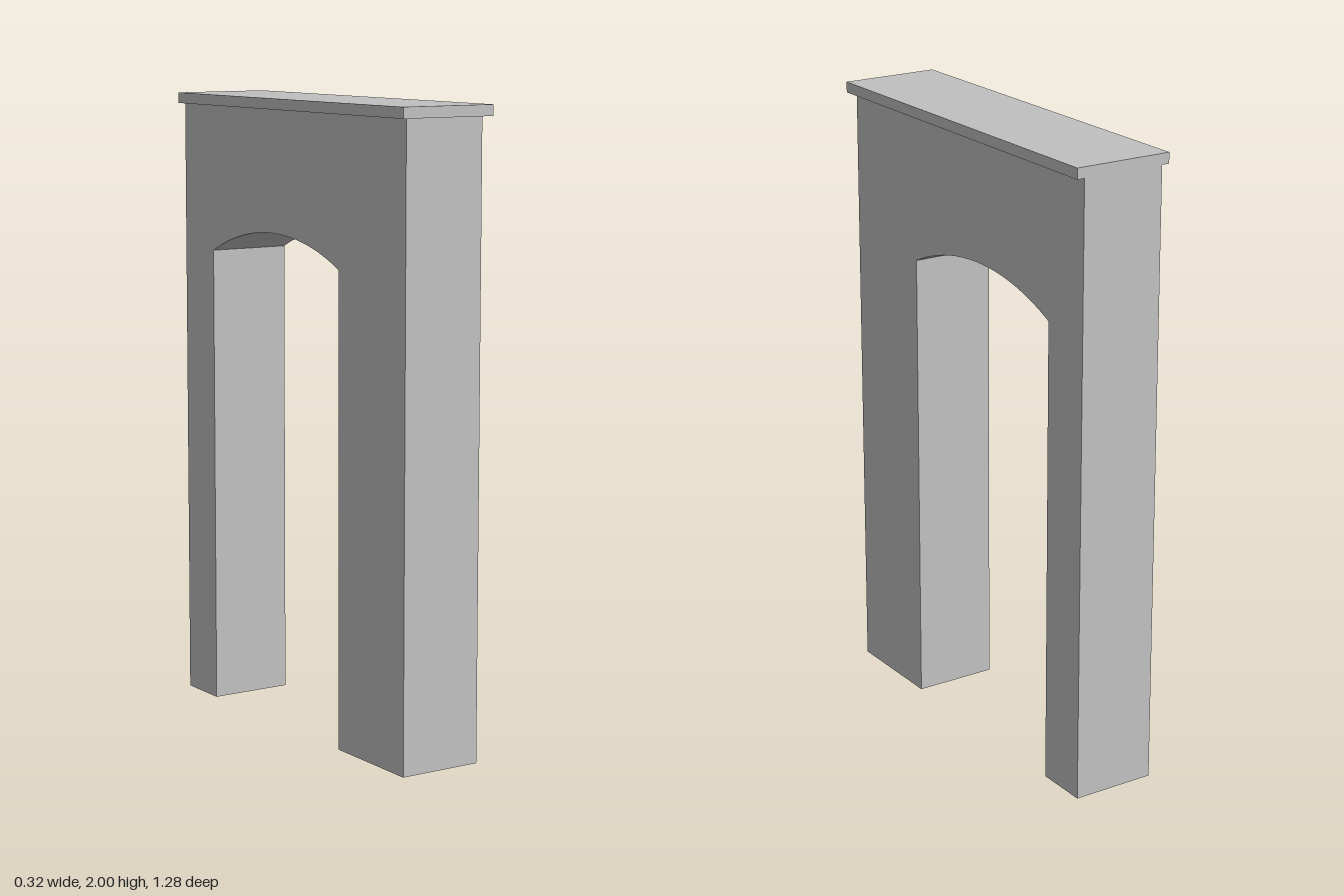
import * as THREE from 'three';

export function createModel() {
  const group = new THREE.Group();
  const stone = new THREE.MeshStandardMaterial({ color: 0xc0c0c0 });
  stone.name = 'grey stone';

  const back = -0.64, front = 0.62;          // wall ends along z
  const openBack = -0.466, openFront = 0.268; // archway sides
  const spring = 1.496, crown = 1.579, wallTop = 1.966;
  const wallWidth = 0.272;

  // Circle through both springing points and the crown
  const half = (openFront - openBack) / 2;
  const middle = (openFront + openBack) / 2;
  const rise = crown - spring;
  const radius = (half * half + rise * rise) / (2 * rise);
  const angle = Math.asin(half / radius);

  // Wall with a segmental archway, drawn in z-y and extruded across x
  const outline = new THREE.Shape();
  outline.moveTo(back, 0);
  outline.lineTo(openBack, 0);
  outline.lineTo(openBack, spring);
  outline.absarc(middle, crown - radius, radius, Math.PI / 2 + angle, Math.PI / 2 - angle, true);
  outline.lineTo(openFront, 0);
  outline.lineTo(front, 0);
  outline.lineTo(front, wallTop);
  outline.lineTo(back, wallTop);
  outline.closePath();
  const wallGeometry = new THREE.ExtrudeGeometry(outline, {
    depth: wallWidth, bevelEnabled: false, curveSegments: 32,
  });
  wallGeometry.translate(0, 0, -wallWidth / 2);
  wallGeometry.rotateY(-Math.PI / 2);
  const wall = new THREE.Mesh(wallGeometry, stone);
  wall.name = 'archWall';
  group.add(wall);

  // Coping slab, flush with the wall at the back end
  const coping = new THREE.Mesh(new THREE.BoxGeometry(0.322, 2 - wallTop, 1.28), stone);
  coping.name = 'copingSlab';
  coping.position.y = (2 + wallTop) / 2;
  group.add(coping);

  return group;
}
